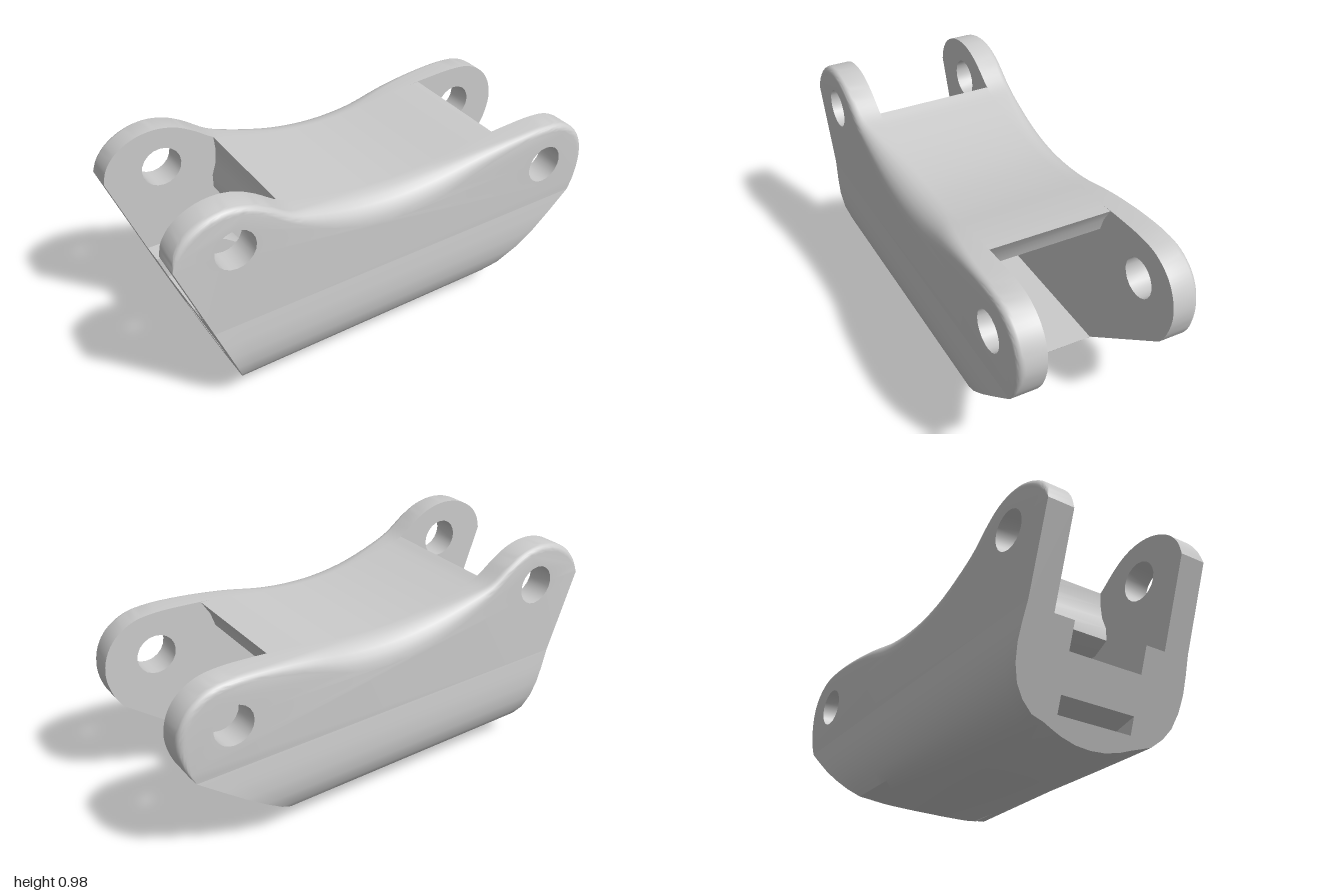
import * as THREE from 'three';
import { toCreasedNormals } from 'three/addons/utils/BufferGeometryUtils.js';

const IN = 0.27, OUT = 0.39, CUT = 0.44;
const xL = y => -0.705 - 0.369 * y;          // slanted cut at the tall end
const xR = y => 0.47 + (y - 0.08) * 1.306;   // slanted cut at the low end
const holes = [[-0.75, 0.8], [0.77, 0.635]];

// Upper outline from the low lug to the tall lug; third value is the edge rounding
const outline = new THREE.CatmullRomCurve3([
  [xR(CUT), CUT, 0], [0.975, 0.5, 0.015], [1, 0.6, 0.03], [0.985, 0.69, 0.03], [0.94, 0.76, 0.03],
  [0.86, 0.81, 0.03], [0.77, 0.825, 0.03], [0.6, 0.82, 0.035], [0.4, 0.803, 0.06], [0.2, 0.778, 0.1],
  [0, 0.77, 0.11], [-0.2, 0.788, 0.1], [-0.4, 0.828, 0.06], [-0.5, 0.858, 0.035], [-0.6, 0.925, 0.03],
  [-0.68, 0.965, 0.03], [-0.77, 0.98, 0.03], [-0.86, 0.965, 0.03], [-0.94, 0.92, 0.03],
  [-0.985, 0.86, 0.02], [xL(0.8), 0.8, 0],
].map(p => new THREE.Vector3(...p))).getPoints(80);
outline.push(new THREE.Vector3(xL(CUT), CUT, 0));

const material = () => new THREE.MeshStandardMaterial({ color: 0xcccccc });

function add(group, name, geometry, crease = 0.5) {
  const mesh = new THREE.Mesh(toCreasedNormals(geometry, crease), material());
  mesh.name = name;
  group.add(mesh);
}

// Cheek with a pivot hole at each end and a rounded outer rim
function cheekGeometry(side) {
  const pos = [];
  const tri = (a, b, c) => (side > 0 ? [a, b, c] : [a, c, b]).forEach(p => pos.push(p[0], p[1], p[2] * side));
  const quad = (a, b, c, d) => { tri(a, b, c); tri(a, c, d); };

  // Rim rows, each point inset along its own normal
  const rows = outline.map((p, i) => {
    const q = outline[Math.max(i - 1, 0)], n = outline[Math.min(i + 1, outline.length - 1)];
    const dx = n.x - q.x, dy = n.y - q.y, len = Math.hypot(dx, dy);
    const row = [[p.x, p.y, IN]];
    for (let j = 0; j <= 6; j++) {
      const a = j / 6 * Math.PI / 2, inset = p.z * (1 - Math.cos(a));
      row.push([p.x - dy / len * inset, p.y + dx / len * inset, OUT - p.z + p.z * Math.sin(a)]);
    }
    return row;
  });
  for (let i = 0; i < rows.length - 1; i++)
    for (let j = 0; j < 7; j++) quad(rows[i][j], rows[i + 1][j], rows[i + 1][j + 1], rows[i][j + 1]);

  // Flat inner and outer faces
  const face = (k, z, flip) => {
    const shape = new THREE.Shape(rows.map(r => new THREE.Vector2(r[k][0], r[k][1])));
    holes.forEach(([x, y]) => shape.holes.push(new THREE.Path().absarc(x, y, 0.087, 0, Math.PI * 2, true)));
    const p = new THREE.ShapeGeometry(shape, 10).toNonIndexed().attributes.position;
    for (let i = 0; i < p.count; i += 3) {
      const [a, b, c] = [0, 1, 2].map(n => [p.getX(i + n), p.getY(i + n), z]);
      flip ? tri(a, c, b) : tri(a, b, c);
    }
  };
  face(0, IN, true);
  face(7, OUT, false);

  // Hole walls
  holes.forEach(([x, y]) => {
    const at = (i, z) => [x + 0.087 * Math.cos(i * Math.PI / 10), y + 0.087 * Math.sin(i * Math.PI / 10), z];
    for (let i = 0; i < 20; i++) quad(at(i + 1, IN), at(i, IN), at(i, OUT), at(i + 1, OUT));
  });
  return new THREE.BufferGeometry().setAttribute('position', new THREE.Float32BufferAttribute(pos, 3));
}

// Rounded trough: a U section swept along x, with both ends cut on a slant
function troughGeometry() {
  const half = [[0.39, CUT], [0.397, 0.36], [0.4, 0.29], [0.392, 0.22], [0.37, 0.155], [0.335, 0.108],
    [0.285, 0.078], [0.23, 0.064], [0.19, 0.06], [0.14, 0.058], [0.07, 0.056]];
  const outer = [...half, [0, 0.056], ...half.map(([z, y]) => [-z, y]).reverse()];
  const section = [...outer, [-IN, CUT], [-IN, 0.09], [IN, 0.09], [IN, CUT]];
  const g = new THREE.ExtrudeGeometry(new THREE.Shape(section.map(p => new THREE.Vector2(...p))),
    { depth: 1, steps: 20, bevelEnabled: false });
  const p = g.attributes.position;
  for (let i = 0; i < p.count; i++) {
    const z = -p.getX(i), t = p.getZ(i);
    let y = p.getY(i);
    // The underside rises to the low end and swells below the tall end
    if (y < 0.085) {
      const swell = THREE.MathUtils.smoothstep(0.42 - t, 0, 0.42);
      y += 0.022 * t * t - 0.01 * (1 - t) - 0.046 * swell * Math.max(0, 1 - (z / 0.22) ** 2);
    }
    p.setXYZ(i, THREE.MathUtils.lerp(xL(y), xR(y), t), y, z);
  }
  return g;
}

// Straight piece from a side outline, between two z values
function slab(points, z0, z1) {
  const shape = new THREE.Shape(points.map(p => new THREE.Vector2(...p)));
  return new THREE.ExtrudeGeometry(shape, { depth: z1 - z0, bevelEnabled: false }).translate(0, 0, z0);
}

export function createModel() {
  const group = new THREE.Group();
  group.name = 'linkSegment';

  add(group, 'lowerShell', troughGeometry(), 0.6);
  add(group, 'leftCheek', cheekGeometry(1));
  add(group, 'rightCheek', cheekGeometry(-1));

  // Top plate follows the cheeks, with hollowed ends clearing the pivots
  const top = outline.filter(p => p.y > 0.7 && p.x > -0.505 && p.x < 0.54).map(p => [p.x, p.y]);
  add(group, 'topPlate', slab([
    [0.55, 0.815], ...top, [-0.51, 0.862], [-0.505, 0.8], [-0.51, 0.74], [-0.53, 0.68], [-0.53, 0.62],
    [-0.45, 0.58], [-0.2, 0.58], [0, 0.62], [0.2, 0.69], [0.49, 0.69], [0.51, 0.75],
  ], -IN, IN));

  // Stepped blocks and cross bar inside the tall end
  const block = [[xL(0.085), 0.085], [-0.36, 0.085], [-0.37, 0.14], [-0.4, 0.25], [-0.46, 0.34],
    [-0.54, 0.4], [-0.6, 0.423], [xL(0.423), 0.423]];
  add(group, 'leftBlock', slab(block, 0.175, IN));
  add(group, 'rightBlock', slab(block, -IN, -0.175));
  add(group, 'crossBar', slab([[xL(0.16), 0.16], [-0.6, 0.12], [-0.5, 0.12], [-0.45, 0.17], [-0.43, 0.22],
    [-0.45, 0.27], [-0.5, 0.305], [-0.55, 0.313], [xL(0.313), 0.313]], -0.175, 0.175));
  return group;
}
